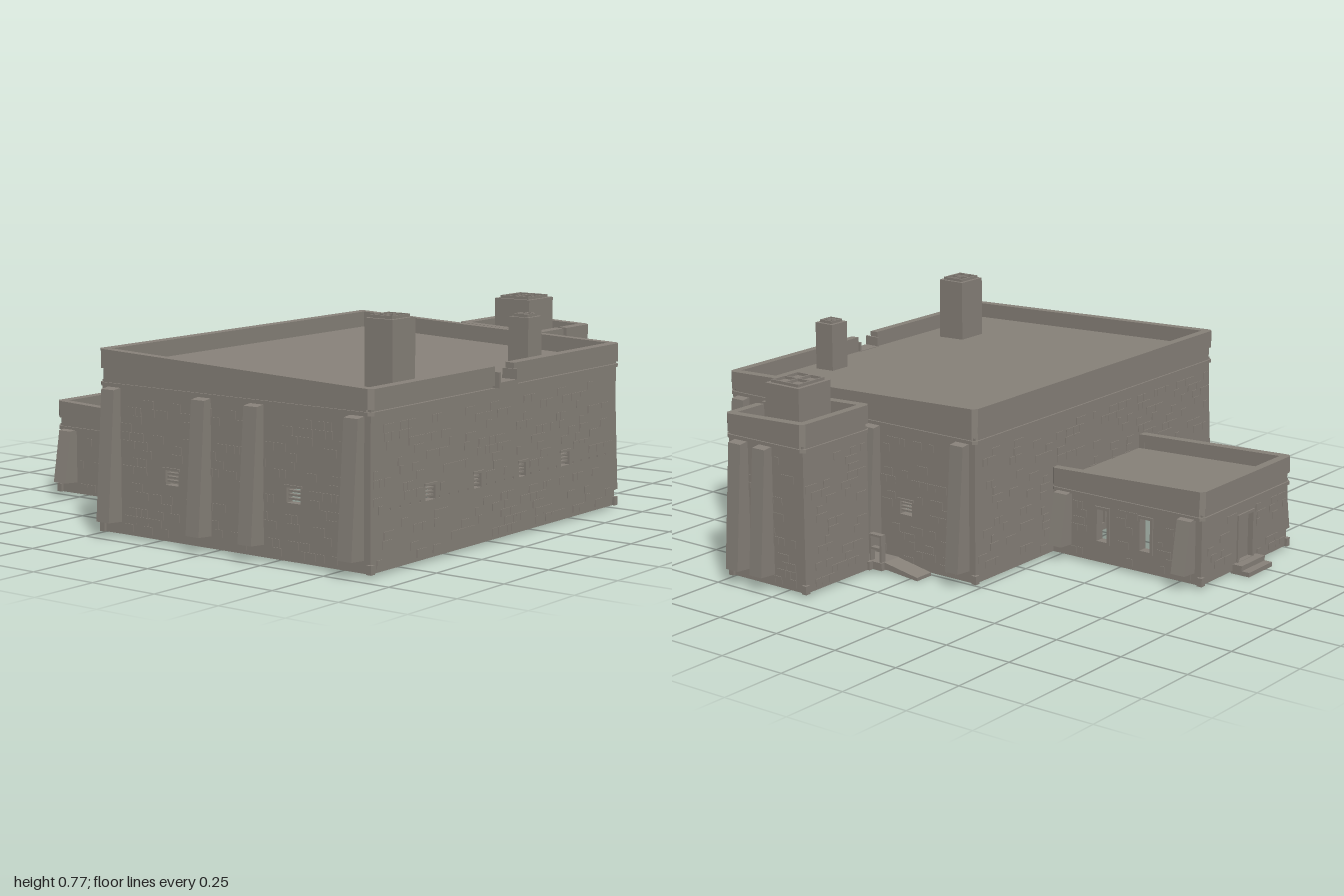
import * as THREE from 'three';
import { mergeGeometries } from 'three/addons/utils/BufferGeometryUtils.js';

const stone = new THREE.MeshStandardMaterial({ color: 0x88827a });
stone.name = 'weathered stone';
const T = 0.03; // wall thickness

let seed = 7;
const rand = () => (seed = (seed * 16807) % 2147483647) / 2147483647;

function add(parent, name, geometry) {
  const mesh = new THREE.Mesh(geometry, stone);
  mesh.name = name;
  parent.add(mesh);
  return mesh;
}

// Box given by its limits
function block(x0, x1, y0, y1, z0, z1) {
  return new THREE.BoxGeometry(x1 - x0, y1 - y0, z1 - z0)
    .translate((x0 + x1) / 2, (y0 + y1) / 2, (z0 + z1) / 2);
}

// Tilt a geometry so that it rises towards the back
function tilt(geometry, k, zRef) {
  const p = geometry.attributes.position;
  for (let i = 0; i < p.count; i++) p.setY(i, p.getY(i) + k * (zRef - p.getZ(i)));
  geometry.computeVertexNormals();
  return geometry;
}

// Horizontal band with chamfered corners and a gap in its front side
function band(x0, x1, z0, z1, y0, y1, t, gap) {
  const c = 0.015, [g0, g1] = gap;
  const pts = [
    [g1, z1], [x1 - c, z1], [x1, z1 - c], [x1, z0 + c], [x1 - c, z0], [x0 + c, z0],
    [x0, z0 + c], [x0, z1 - c], [x0 + c, z1], [g0, z1], [g0, z1 - t], [x0 + t, z1 - t],
    [x0 + t, z0 + t], [x1 - t, z0 + t], [x1 - t, z1 - t], [g1, z1 - t],
  ].map(([x, z]) => new THREE.Vector2(x, z));
  return new THREE.ExtrudeGeometry(new THREE.Shape(pts), { depth: y1 - y0, bevelEnabled: false })
    .rotateX(Math.PI / 2).translate(0, y1, 0);
}

// Wall panel along u with openings [u, y, width, height, kind] and proud stones
function wall(parent, name, u0, u1, y0, y1, openings, outward) {
  const group = new THREE.Group();
  group.name = name;
  parent.add(group);
  const rect = (C, a, b, c, d) => {
    const s = new C();
    s.moveTo(a, c); s.lineTo(b, c); s.lineTo(b, d); s.lineTo(a, d); s.closePath();
    return s;
  };
  const shape = rect(THREE.Shape, u0, u1, y0, y1);
  const face = outward > 0 ? T : 0;
  const details = [];
  const plate = (a, b, c, d, depth) =>
    details.push(block(a, b, c, d, face - (outward > 0 ? 0.002 : depth), face + (outward > 0 ? depth : 0.002)));
  for (const [u, y, w, h, kind] of openings) {
    const a = u - w / 2, b = u + w / 2, c = y - h / 2, d = y + h / 2;
    shape.holes.push(rect(THREE.Path, a, b, c, d));
    if (kind === 'vent') {
      for (let i = 1; i < 4; i++) {
        const by = c + (h * i) / 4;
        details.push(block(a, b, by - 0.003, by + 0.003, 0.008, T - 0.008));
      }
      plate(a - 0.008, b + 0.008, d, d + 0.008, 0.005);
    } else if (kind === 'frame') {
      plate(a - 0.01, a, c - 0.01, d + 0.01, 0.006);
      plate(b, b + 0.01, c - 0.01, d + 0.01, 0.006);
      plate(a, b, d, d + 0.01, 0.006);
      plate(a, b, c - 0.01, c, 0.006);
    }
  }
  // Irregular courses of masonry
  const row = 0.028;
  for (let y = y0 + 0.012; y + row < y1 - 0.025; y += row) {
    for (let u = u0 + 0.012; u < u1 - 0.06;) {
      const w = 0.02 + rand() * 0.04;
      const clear = openings.every(([ou, oy, ow, oh]) =>
        u > ou + ow / 2 + 0.012 || u + w < ou - ow / 2 - 0.012 ||
        y > oy + oh / 2 + 0.012 || y + row < oy - oh / 2 - 0.012);
      if (clear && rand() < 0.35) plate(u, u + w - 0.002, y, y + row - 0.002, 0.0025);
      u += w;
    }
  }
  add(group, name + 'Panel', new THREE.ExtrudeGeometry(shape, { depth: T, bevelEnabled: false }));
  if (details.length) add(group, name + 'Masonry', mergeGeometries(details));
  return group;
}

// Hollow building: four walls, cornice, tilted parapet and roof, corner feet
function building(root, name, o) {
  const g = new THREE.Group();
  g.name = name;
  root.add(g);
  const { x0, x1, z0, z1, top, k, rise, gap } = o;
  if (o.front) wall(g, 'frontWall', x0, x1, 0.01, top, o.front, 1).position.z = z1 - T;
  wall(g, 'backWall', x0, x1, 0.01, top, o.back, -1).position.z = z0;
  for (const [n, x, openings, out] of [['leftWall', x1, o.left, -1], ['rightWall', x0 + T, o.right, 1]]) {
    const w = wall(g, n, z0 + T, z1 - (o.front ? T : 0), 0.01, top, openings, out);
    w.rotation.y = -Math.PI / 2;
    w.position.x = x;
  }
  const e = 0.01, mid = (x0 + x1) / 2;
  const whole = o.front ? [mid, mid + 0.0005] : gap;
  add(g, 'cornice', band(x0 - e, x1 + e, z0 - e, z1 + (o.front ? e : 0), top - 0.02, top - 0.008, 0.03, whole));
  // Upper wall fills the wedge below the tilted parapet
  const upper = band(x0 - 0.004, x1 + 0.004, z0 - 0.004, z1, top - 0.008, top + 0.004, T, whole);
  const p = upper.attributes.position;
  for (let i = 0; i < p.count; i++)
    if (p.getY(i) > top) p.setY(i, p.getY(i) + k * (z1 - p.getZ(i)));
  upper.computeVertexNormals();
  add(g, 'upperWall', upper);
  add(g, 'parapet', tilt(band(x0 - e, x1 + e, z0 - e, z1 + (o.front ? e : 0), top, top + rise, 0.033, gap), k, z1));
  add(g, 'roof', tilt(block(x0 + 0.01, x1 - 0.01, top - 0.012, top + 0.008, z0 + 0.01, z1 - 0.005), k, z1));
  for (const x of [x0, x1]) for (const z of o.front ? [z0, z1] : [z0])
    add(g, 'cornerFoot', block(x - 0.01, x + 0.01, 0.01, 0.04, z - 0.01, z + 0.01));
  return g;
}

// Leaning buttress against a side wall; side is +1 or -1
function buttress(g, x, z, side, top) {
  const s = new THREE.Shape([[-0.005, 0.05], [0.065, 0.055], [0.033, top], [-0.005, top + 0.005]]
    .map(([a, b]) => new THREE.Vector2(a, b)));
  const geo = new THREE.ExtrudeGeometry(s, { depth: 0.055, bevelEnabled: false }).translate(0, 0, -0.0275);
  if (side < 0) geo.rotateY(Math.PI);
  add(g, 'buttress', geo).position.set(x, 0, z);
}

// Chimney shaft with a four-flue cap
function chimney(g, x0, x1, z0, z1, y0, y1, inset) {
  add(g, 'chimneyShaft', block(x0, x1, y0, y1 - 0.01, z0, z1));
  const w = (x1 - x0) / 2 - inset, d = (z1 - z0) / 2 - inset, r = 0.006;
  const s = new THREE.Shape([[-w, -d], [w, -d], [w, d], [-w, d]].map(q => new THREE.Vector2(...q)));
  for (const i of [-1, 1]) for (const j of [-1, 1])
    s.holes.push(new THREE.Path([[r / 2, r / 2], [w - r, r / 2], [w - r, d - r], [r / 2, d - r]]
      .map(([a, b]) => new THREE.Vector2(a * i, b * j))));
  add(g, 'chimneyCap', new THREE.ExtrudeGeometry(s, { depth: 0.012, bevelEnabled: false }).rotateX(-Math.PI / 2))
    .position.set((x0 + x1) / 2, y1 - 0.012, (z0 + z1) / 2);
}

export function createModel() {
  const root = new THREE.Group();
  root.name = 'stoneFort';

  // Main hall
  const vents = [-0.615, -0.35, -0.085, 0.18].map((x, i) => [x, 0.22, i % 3 ? 0.042 : 0.055, 0.048, 'vent']);
  const weepHoles = [];
  for (let x = -0.83; x < 0.45; x += 0.053)
    if (vents.every(v => Math.abs(v[0] - x) > 0.045)) weepHoles.push([x, 0.2, 0.007, 0.007, '']);
  const sideVents = [[0.58, 0.222, 0.055, 0.05, 'vent'], [0.075, 0.222, 0.055, 0.05, 'vent']];
  const passage = [0.33, 0.125, 0.09, 0.17, 'frame'];
  const hall = building(root, 'mainHall', {
    x0: -0.932, x1: 0.505, z0: -0.228, z1: 0.88, top: 0.522, k: 0.035, rise: 0.064, gap: [-0.27, -0.16],
    front: [...vents, ...weepHoles], back: [[-0.215, 0.115, 0.08, 0.16, '']],
    left: [...sideVents, passage], right: sideVents,
  });
  for (const z of [-0.175, 0.215, 0.432, 0.828]) {
    buttress(hall, -0.932, z, -1, 0.495);
    if (z !== 0.432) buttress(hall, 0.505, z, 1, 0.495);
  }
  chimney(hall, -0.65, -0.527, 0.645, 0.755, 0.52, 0.772, 0.012);
  chimney(hall, 0.055, 0.138, 0.725, 0.805, 0.52, 0.718, 0.012);
  add(hall, 'drainSpout', block(-0.27, -0.16, 0.515, 0.533, 0.85, 0.907));
  for (const x of [-0.27, -0.168]) add(hall, 'spoutCheek', block(x, x + 0.008, 0.52, 0.567, 0.85, 0.907));

  // Side tower
  const tower = building(root, 'sideTower', {
    x0: 0.605, x1: 0.93, z0: 0.16, z1: 0.495, top: 0.522, k: 0.04, rise: 0.064, gap: [0.755, 0.777],
    front: [], back: [], left: [], right: [passage],
  });
  for (const z of [0.327, 0.436]) buttress(tower, 0.933, z, 1, 0.495);
  chimney(tower, 0.685, 0.845, 0.25, 0.4, 0.52, 0.698, 0.014);
  add(tower, 'drainSpout', block(0.753, 0.78, 0.515, 0.533, 0.46, 0.518));

  // Rear annexe
  const windows = [[-0.44, 0.145, 0.042, 0.115, 'frame'], [-0.62, 0.145, 0.042, 0.115, 'frame']];
  const annexe = building(root, 'rearAnnexe', {
    x0: -0.492, x1: 0.06, z0: -0.848, z1: -0.22, top: 0.26, k: 0.037, rise: 0.06, gap: [-0.468, 0.036],
    back: [[-0.215, 0.115, 0.085, 0.16, 'frame']], left: windows, right: windows,
  });
  for (const z of [-0.795, -0.28]) {
    buttress(annexe, -0.492, z, -1, 0.24);
    buttress(annexe, 0.06, z, 1, 0.24);
  }
  add(annexe, 'upperStep', block(-0.29, -0.14, 0, 0.034, -0.885, -0.84));
  add(annexe, 'lowerStep', block(-0.29, -0.14, 0, 0.016, -0.915, -0.885));
  add(annexe, 'doorLeaf', block(-0.255, -0.175, 0.035, 0.195, -0.835, -0.828));

  // Walkway between hall and tower with railings and a ramp
  const walk = new THREE.Group();
  walk.name = 'walkway';
  root.add(walk);
  add(walk, 'walkwayFloor', block(0.5, 0.597, 0.01, 0.038, 0.11, 0.545));
  for (const z of [0.115, 0.49]) {
    for (const dz of [0, 0.047]) add(walk, 'railPost', block(0.57, 0.592, 0.03, 0.135, z + dz, z + dz + 0.008));
    for (const y of [0.08, 0.127]) add(walk, 'rail', block(0.57, 0.592, y, y + 0.008, z, z + 0.055));
  }
  const ramp = new THREE.Shape([[0.11, 0.014], [0.11, 0.038], [-0.035, 0.012], [-0.035, 0]]
    .map(q => new THREE.Vector2(...q)));
  const rampMesh = add(walk, 'ramp', new THREE.ExtrudeGeometry(ramp, { depth: 0.075, bevelEnabled: false }));
  rampMesh.rotation.y = -Math.PI / 2;
  rampMesh.position.x = 0.582;
  return root;
}
